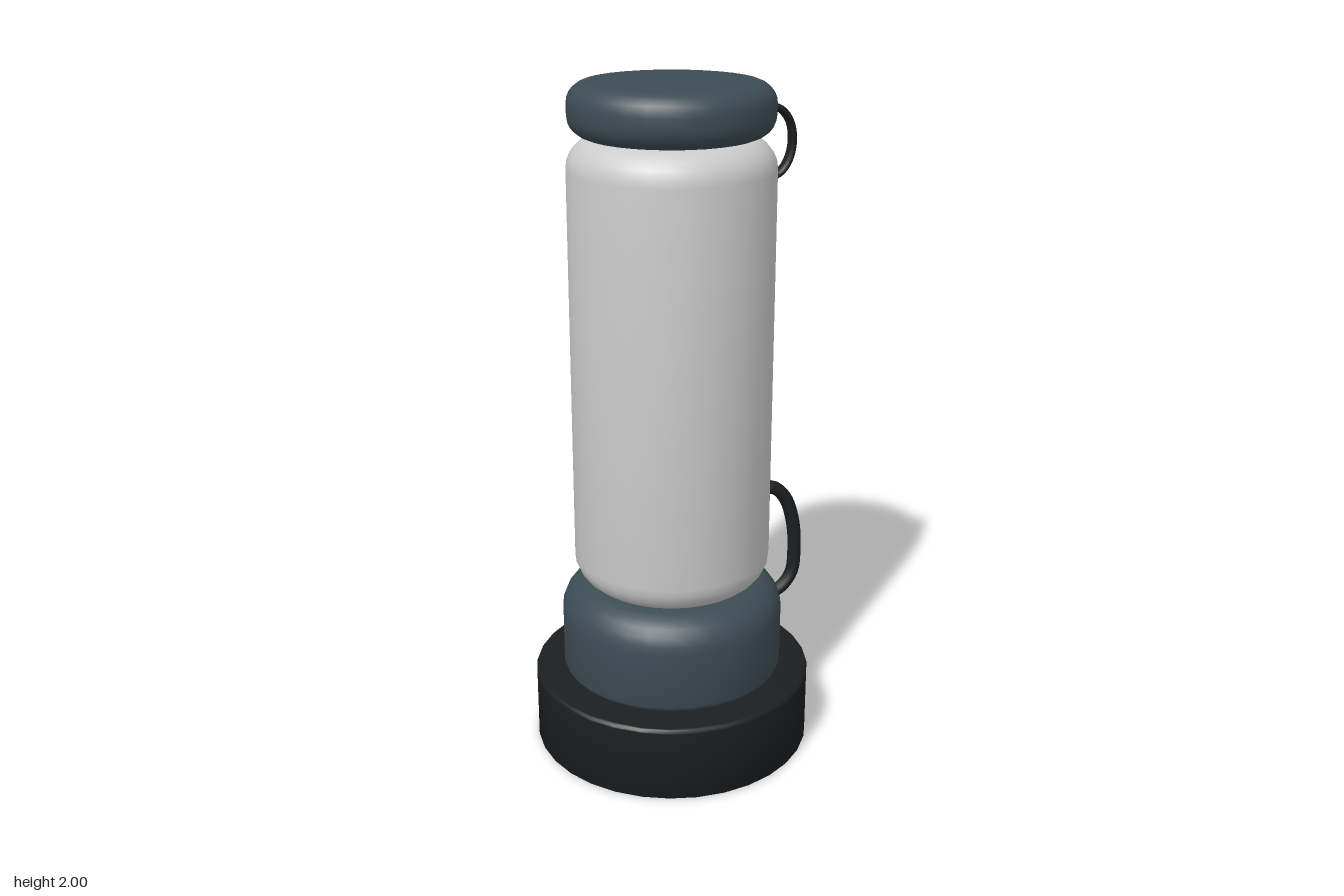
import * as THREE from 'three';
import { toCreasedNormals } from 'three/addons/utils/BufferGeometryUtils.js';

const AXIS_X = -0.01;
const black = new THREE.MeshStandardMaterial({ color: 0x1c1e20 });
const slate = new THREE.MeshStandardMaterial({ color: 0x3d4c54 });
const grey = new THREE.MeshStandardMaterial({ color: 0xcccccc });

// Solid of revolution with rounded bottom and top rims
function roundedDrum(name, material, radius, y0, y1, bottomRound, topRound) {
  const points = [new THREE.Vector2(0, y0)];
  const steps = 6;
  const addCorner = (cy, round, start) => {
    for (let i = 0; i <= steps; i++) {
      const a = start + (i / steps) * Math.PI / 2;
      points.push(new THREE.Vector2(radius - round + Math.cos(a) * round, cy + Math.sin(a) * round));
    }
  };
  addCorner(y0 + bottomRound, bottomRound, -Math.PI / 2);
  addCorner(y1 - topRound, topRound, 0);
  points.push(new THREE.Vector2(0, y1));
  const geometry = toCreasedNormals(new THREE.LatheGeometry(points, 32), 0.7);
  const mesh = new THREE.Mesh(geometry, material);
  mesh.name = name;
  mesh.position.x = AXIS_X;
  return mesh;
}

// Bent loop in the x-y plane, closed at both ends; depth stretches it along z
function loop(name, path, radius, depth) {
  const group = new THREE.Group();
  group.name = name;
  const curve = new THREE.CatmullRomCurve3(path.map(([x, y]) => new THREE.Vector3(x, y, 0)));
  group.add(new THREE.Mesh(new THREE.TubeGeometry(curve, 32, radius, 10), black));
  for (const t of [0, 1]) {
    const end = new THREE.Mesh(new THREE.CircleGeometry(radius, 10), black);
    end.position.copy(curve.getPointAt(t));
    end.lookAt(end.position.clone().addScaledVector(curve.getTangentAt(t), t ? 1 : -1));
    group.add(end);
  }
  group.scale.z = depth;
  return group;
}

export function createModel() {
  const model = new THREE.Group();
  model.name = 'canister';

  // Stacked round body
  model.add(
    roundedDrum('base', black, 0.42, 0, 0.23, 0.006, 0.012),
    roundedDrum('collar', slate, 0.334, 0.23, 0.522, 0.03, 0.1),
    roundedDrum('body', grey, 0.293, 0.52, 1.852, 0.09, 0.09),
    roundedDrum('cap', slate, 0.288, 1.852, 2, 0.06, 0.06)
  );

  // Side loops: a thin strap by the cap and a thick handle above the collar
  model.add(
    loop('capStrap', [[0.27, 1.913], [0.31, 1.91], [0.345, 1.875], [0.357, 1.815],
      [0.342, 1.755], [0.31, 1.722], [0.27, 1.718]], 0.011, 1.9),
    loop('handle', [[0.27, 0.757], [0.325, 0.755], [0.366, 0.715], [0.395, 0.63],
      [0.403, 0.53], [0.395, 0.455], [0.36, 0.41], [0.3, 0.386]], 0.021, 1)
  );
  return model;
}
